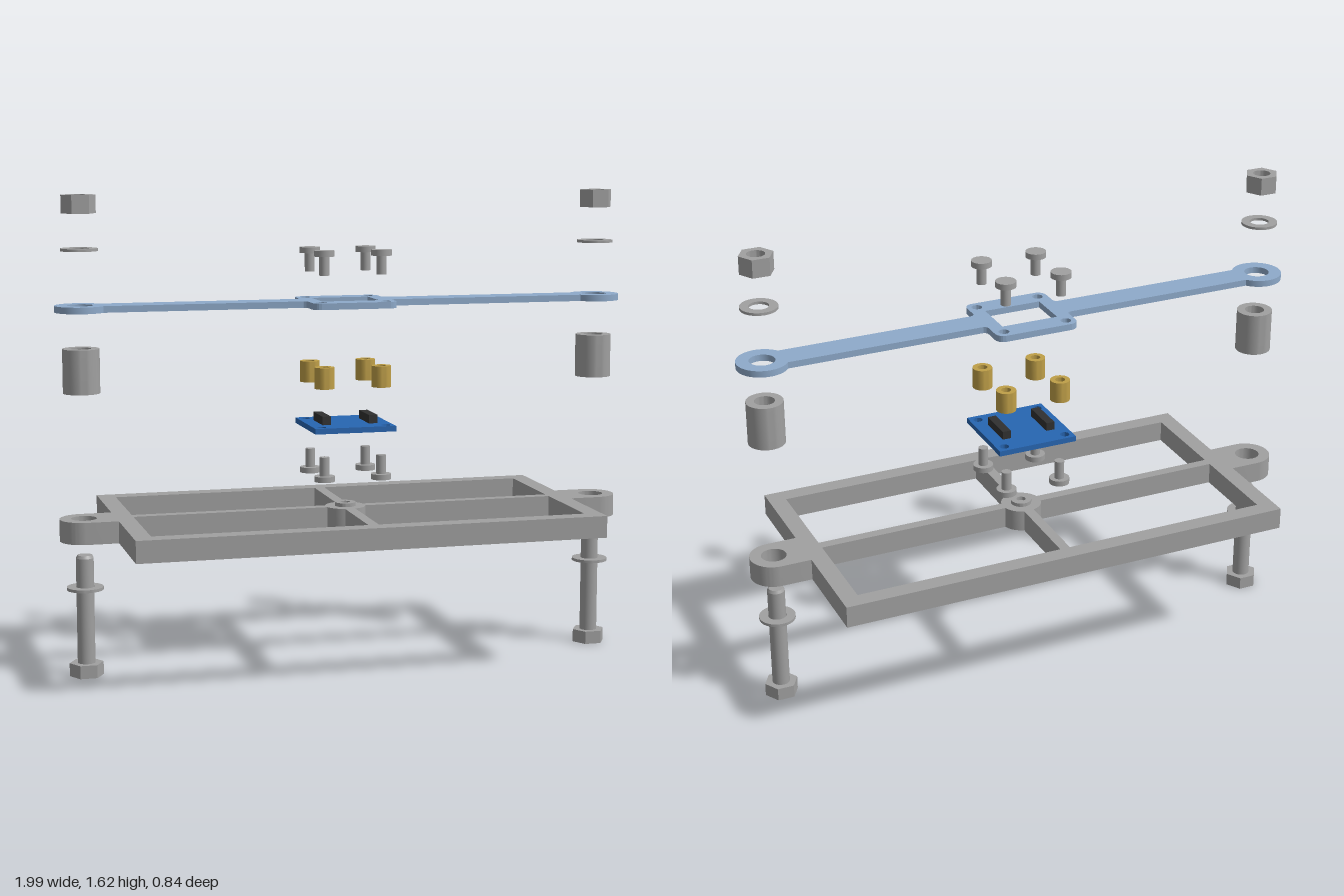
import * as THREE from 'three';
import { toCreasedNormals } from 'three/addons/utils/BufferGeometryUtils.js';

function material(name, color) {
  const m = new THREE.MeshStandardMaterial({ color });
  m.name = name;
  return m;
}

// Circular hole path
function hole(x, y, r) {
  return new THREE.Path().absarc(x, y, r, 0, Math.PI * 2, false);
}

// Closed disc or polygon outline
function disc(r, sides = 40) {
  const pts = [];
  for (let i = 0; i < sides; i++) {
    const a = (i / sides) * Math.PI * 2;
    pts.push(new THREE.Vector2(Math.cos(a) * r, Math.sin(a) * r));
  }
  return new THREE.Shape(pts);
}

// Flat shape lying in xz, raised from y0 to y1
function slab(shape, y0, y1) {
  const g = new THREE.ExtrudeGeometry(shape, { depth: y1 - y0, bevelEnabled: false, curveSegments: 20 });
  g.rotateX(-Math.PI / 2).translate(0, y0, 0);
  return toCreasedNormals(g, 0.6);
}

function ring(rOut, rIn, y0, y1, sides) {
  const s = disc(rOut, sides);
  s.holes.push(hole(0, 0, rIn));
  return slab(s, y0, y1);
}

function cylinder(r, y0, y1, sides = 32, rTop = r) {
  return new THREE.CylinderGeometry(rTop, r, y1 - y0, sides).translate(0, (y0 + y1) / 2, 0);
}

function box(w, y0, y1, d) {
  return new THREE.BoxGeometry(w, y1 - y0, d).translate(0, (y0 + y1) / 2, 0);
}

const EAR_X = 0.91;
const CORNER = 0.1;

// Rectangular base frame with end lugs, four windows and a round hub
function frameShape() {
  const X = 0.805, Z = 0.42, r = 0.082;
  const s = new THREE.Shape();
  s.moveTo(-X, -Z).lineTo(X, -Z).lineTo(X, -r).lineTo(EAR_X, -r);
  s.absarc(EAR_X, 0, r, -Math.PI / 2, Math.PI / 2, false);
  s.lineTo(X, r).lineTo(X, Z).lineTo(-X, Z).lineTo(-X, r).lineTo(-EAR_X, r);
  s.absarc(-EAR_X, 0, r, Math.PI / 2, Math.PI * 1.5, false);
  s.lineTo(-X, -r);

  const h = 0.018, hub = 0.07, a = Math.asin(h / hub);
  const pts = [[0.745, h], [0.745, 0.36], [h, 0.36]];
  for (let i = 0; i <= 8; i++) {
    const t = Math.PI / 2 - a - (i / 8) * (Math.PI / 2 - 2 * a);
    pts.push([hub * Math.cos(t), hub * Math.sin(t)]);
  }
  for (const sx of [-1, 1]) for (const sz of [-1, 1]) {
    s.holes.push(new THREE.Path(pts.map(([x, y]) => new THREE.Vector2(x * sx, y * sz))));
  }
  for (const sx of [-1, 1]) s.holes.push(hole(sx * EAR_X, 0, 0.043));
  return s;
}

// Long strap with round eyes and a square centre
function strapShape() {
  const w = 0.05, R = 0.086, c = 0.147, q = 0.03, f = 0.018;
  const a = Math.asin(w / R);
  const s = new THREE.Shape();
  s.moveTo(c + f, -w);
  s.absarc(EAR_X, 0, R, -(Math.PI - a), Math.PI - a, false);
  s.lineTo(c + f, w).quadraticCurveTo(c, w, c, w + f);
  s.lineTo(c, c - q).absarc(c - q, c - q, q, 0, Math.PI / 2, false);
  s.lineTo(-c + q, c).absarc(-c + q, c - q, q, Math.PI / 2, Math.PI, false);
  s.lineTo(-c, w + f).quadraticCurveTo(-c, w, -c - f, w);
  s.absarc(-EAR_X, 0, R, a, Math.PI * 2 - a, false);
  s.lineTo(-c - f, -w).quadraticCurveTo(-c, -w, -c, -w - f);
  s.lineTo(-c, -c + q).absarc(-c + q, -c + q, q, Math.PI, Math.PI * 1.5, false);
  s.lineTo(c - q, -c).absarc(c - q, -c + q, q, -Math.PI / 2, 0, false);
  s.lineTo(c, -w - f).quadraticCurveTo(c, -w, c + f, -w);
  for (const sx of [-1, 1]) {
    s.holes.push(hole(sx * EAR_X, 0, 0.043));
    for (const sz of [-1, 1]) s.holes.push(hole(sx * 0.113, sz * 0.113, 0.018));
  }
  // Rectangular opening, narrowed beside the screw holes
  s.holes.push(new THREE.Path([[-0.1, -0.072], [0.1, -0.072], [0.1, 0.072], [-0.1, 0.072]]
    .map(([x, y]) => new THREE.Vector2(x, y))));
  return s;
}

function boardShape() {
  const b = 0.142;
  const s = new THREE.Shape([[-b, -b], [b, -b], [b, b], [-b, b]].map(([x, y]) => new THREE.Vector2(x, y)));
  for (const sx of [-1, 1]) for (const sz of [-1, 1]) s.holes.push(hole(sx * 0.113, sz * 0.113, 0.016));
  return s;
}

export function createModel() {
  const steel = material('steel grey', 0xa0a0a0);
  const paleBlue = material('pale blue', 0x8eaaca);
  const boardBlue = material('board blue', 0x2766b2);
  const brass = material('brass', 0xbf9f48);
  const black = material('black plastic', 0x303030);

  const model = new THREE.Group();
  model.name = 'explodedAssembly';
  const add = (name, geometry, mat, x = 0, z = 0, parent = model) => {
    const mesh = new THREE.Mesh(geometry, mat);
    mesh.name = name;
    mesh.position.set(x, 0, z);
    parent.add(mesh);
    return mesh;
  };

  // Base frame with its raised centre boss
  add('baseFrame', slab(frameShape(), 0.467, 0.542), steel);
  add('centreBoss', ring(0.036, 0.016, 0.54, 0.555), steel);

  // Strap
  add('strap', slab(strapShape(), 1.238, 1.26), paleBlue);

  // Circuit board, two sockets on top, one chip below
  add('circuitBoard', slab(boardShape(), 0.817, 0.836), boardBlue);
  for (const sx of [-1, 1]) add('socket', box(0.03, 0.835, 0.865, 0.128), black, sx * 0.082);
  add('chip', box(0.066, 0.8, 0.818, 0.052), black);

  // End hardware: bolt, washers, spacer and nut on each side
  const hex = 0.058;
  for (const sx of [-1, 1]) {
    const stack = new THREE.Group();
    stack.name = sx > 0 ? 'leftFastenerStack' : 'rightFastenerStack';
    stack.position.x = sx * EAR_X;
    model.add(stack);
    const put = (name, geometry) => add(name, geometry, steel, 0, 0, stack);
    put('boltHead', slab(disc(hex, 6), 0, 0.045));
    put('boltShank', cylinder(0.03, 0.04, 0.407));
    put('boltTip', cylinder(0.03, 0.407, 0.417, 32, 0.025));
    put('lowerWasher', ring(0.062, 0.031, 0.298, 0.308));
    put('spacer', ring(0.062, 0.034, 0.967, 1.116));
    put('upperWasher', ring(0.062, 0.033, 1.44, 1.449));
    put('nut', ring(hex, 0.03, 1.564, 1.625, 6));
  }

  // Corner hardware: standoff with a screw above and one below
  for (const sx of [-1, 1]) for (const sz of [-1, 1]) {
    const x = sx * CORNER, z = sz * CORNER;
    add('standoff', ring(0.034, 0.017, 0.967, 1.04, 32), brass, x, z);
    add('upperScrewHead', cylinder(0.035, 1.414, 1.434), steel, x, z);
    add('upperScrewShank', cylinder(0.017, 1.35, 1.416, 24), steel, x, z);
    add('lowerScrewHead', cylinder(0.035, 0.648, 0.667), steel, x, z);
    add('lowerScrewShank', cylinder(0.017, 0.665, 0.732, 24), steel, x, z);
  }

  return model;
}
